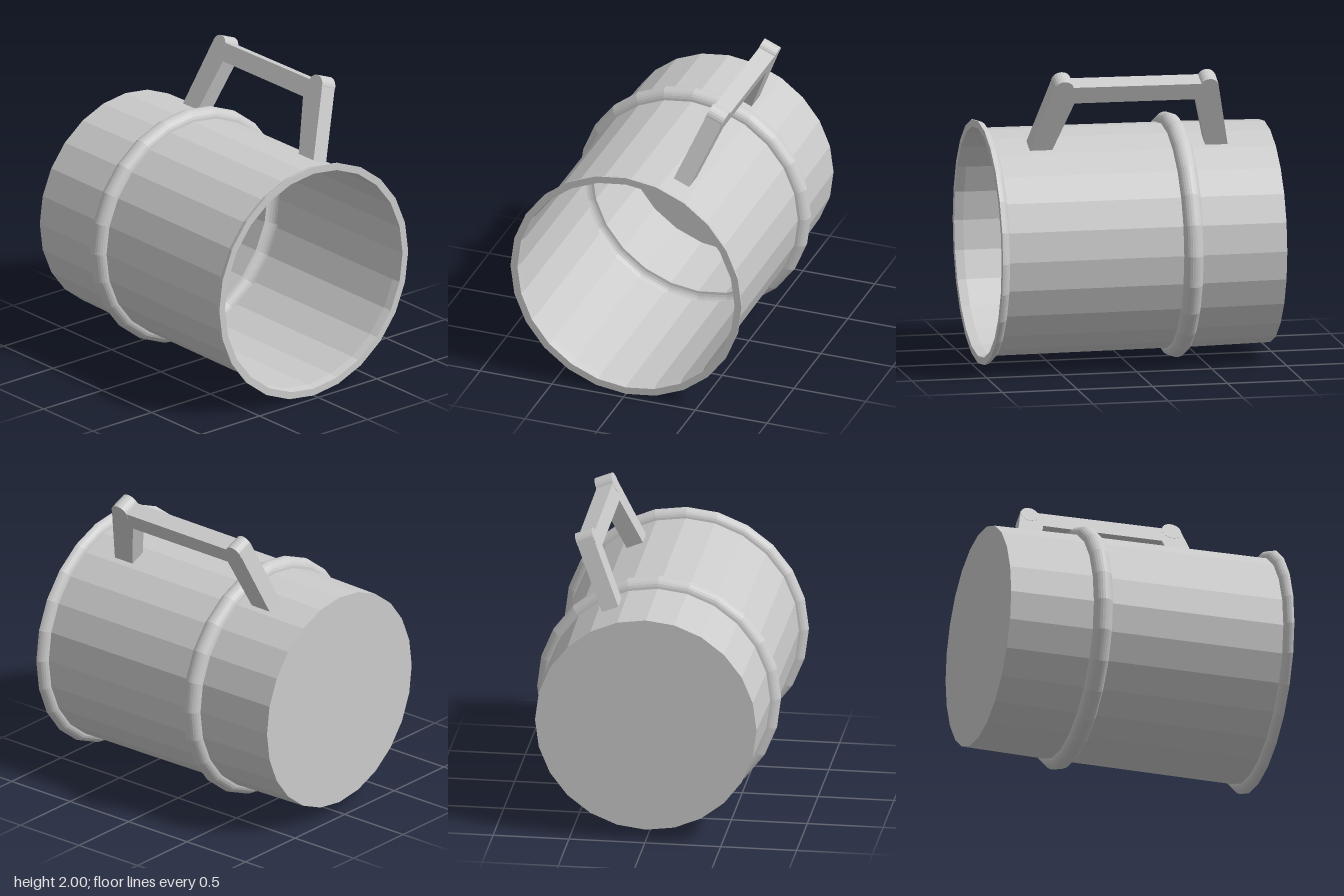
import * as THREE from 'three';

const SIDES = 24;
const AXIS_Y = 0.81;

export function createModel() {
  const model = new THREE.Group();
  model.name = 'mug';
  const material = new THREE.MeshStandardMaterial({
    color: 0xcccccc, flatShading: true, side: THREE.DoubleSide,
  });

  function add(parent, name, geometry) {
    const mesh = new THREE.Mesh(geometry, material);
    mesh.name = name;
    parent.add(mesh);
    return mesh;
  }

  // Thin shell lying along z: closed back, hollow band, flared rim
  function lathe(points) {
    const profile = points.map(([r, z]) => new THREE.Vector2(r, z));
    return new THREE.LatheGeometry(profile, SIDES).rotateX(Math.PI / 2);
  }
  function arc(r, z, radius, from, to, steps) {
    return Array.from({ length: steps + 1 }, (_, i) => {
      const a = from + (to - from) * i / steps;
      return [r + radius * Math.sin(a), z - radius * Math.cos(a)];
    });
  }

  const band = arc(0.74, -0.33, 0.064, 0, Math.PI, 12);
  const rim = arc(0.747, 0.955, 0.058, 0, Math.PI / 2, 6);
  const body = new THREE.Group();
  body.name = 'body';
  body.position.y = AXIS_Y;
  model.add(body);
  add(body, 'backDisc', lathe([[0, -0.955], [0.73, -0.955]]));
  add(body, 'backWall', lathe([[0.73, -0.955], band[0]]));
  add(body, 'band', lathe(band));
  add(body, 'frontWall', lathe([band[band.length - 1], rim[0]]));
  add(body, 'rim', lathe([...rim, [0.757, 0.955], rim[0]]));

  // Handle, built in its own radial plane and leaned to one side
  const handle = new THREE.Group();
  handle.name = 'handle';
  handle.position.y = AXIS_Y;
  handle.rotation.z = -Math.PI / 8;
  model.add(handle);

  const width = 0.116;
  // Outline as [z, distance from the mug's axis]
  const outline = [
    [0.68, 0.737], [0.55, 1.22], [0.49, 1.22], [-0.48, 1.21], [-0.54, 1.21],
    [-0.64, 0.73], [-0.49, 0.73], [-0.40, 1.092], [0.41, 1.097], [0.53, 0.737],
  ].map(([z, r]) => new THREE.Vector2(z, r));
  const grip = new THREE.ExtrudeGeometry(new THREE.Shape(outline), { depth: width, bevelEnabled: false });
  grip.translate(0, 0, -width / 2).rotateY(-Math.PI / 2);
  add(handle, 'grip', grip);

  // Round knuckles at the two corners
  for (const [name, z, r, radius] of [
    ['frontKnuckle', 0.488, 1.202, 0.066],
    ['backKnuckle', -0.482, 1.187, 0.06],
  ]) {
    const knuckle = new THREE.CylinderGeometry(radius, radius, width + 0.004, 24).rotateZ(Math.PI / 2);
    add(handle, name, knuckle).position.set(0, r, z);
  }

  return model;
}
